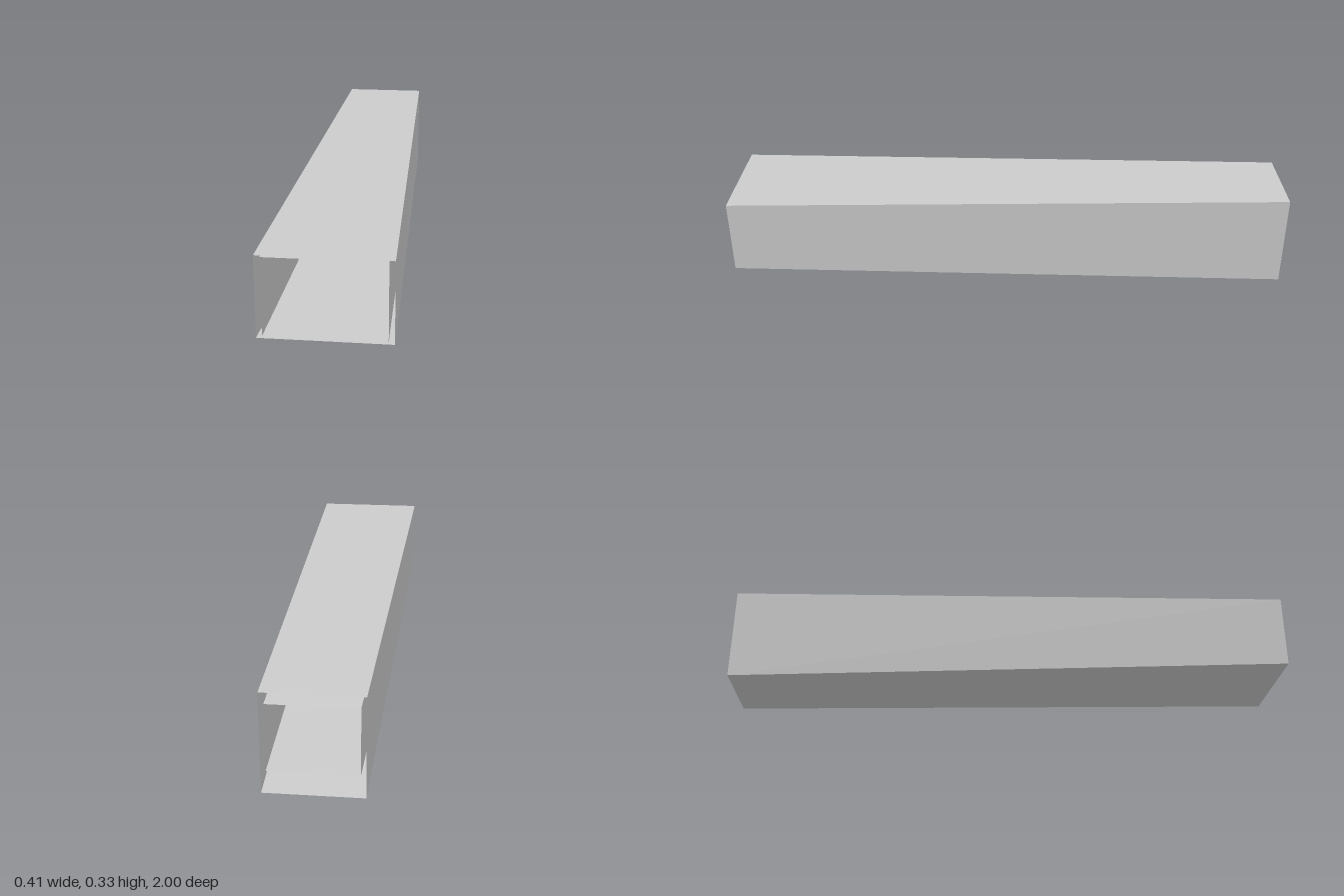
import * as THREE from 'three';

// Corners of a rectangular cross-section, counter-clockwise seen from +z
const section = ({ half, bottom, top, z }) => [
  [-half, bottom, z], [half, bottom, z], [half, top, z], [-half, top, z],
];

// Open-ended sheet duct joining a front and a back rectangle, flat faceted
function taperedDuct(name, front, back, material) {
  const a = section(front), b = section(back);
  const positions = [];
  for (let i = 0; i < 4; i++) {
    const j = (i + 1) % 4;
    for (const p of [a[i], b[i], b[j], a[i], b[j], a[j]]) positions.push(...p);
  }
  const geometry = new THREE.BufferGeometry();
  geometry.setAttribute('position', new THREE.Float32BufferAttribute(positions, 3));
  geometry.computeVertexNormals();
  const mesh = new THREE.Mesh(geometry, material);
  mesh.name = name;
  return mesh;
}

export function createModel() {
  const group = new THREE.Group();
  group.name = 'taperedDuct';
  const material = new THREE.MeshStandardMaterial({
    color: 0xcccccc, flatShading: true, side: THREE.DoubleSide,
  });

  // Outer shell: level top, floor dropping and sides narrowing to the back
  group.add(taperedDuct('outerShell',
    { half: 0.203, bottom: 0.067, top: 0.328, z: 1 },
    { half: 0.156, bottom: 0, top: 0.328, z: -1 }, material));

  // Inner lining: level floor, roof and sides closing in to the back
  group.add(taperedDuct('innerLining',
    { half: 0.185, bottom: 0.074, top: 0.323, z: 1 },
    { half: 0.14, bottom: 0.074, top: 0.292, z: -1 }, material));

  return group;
}
